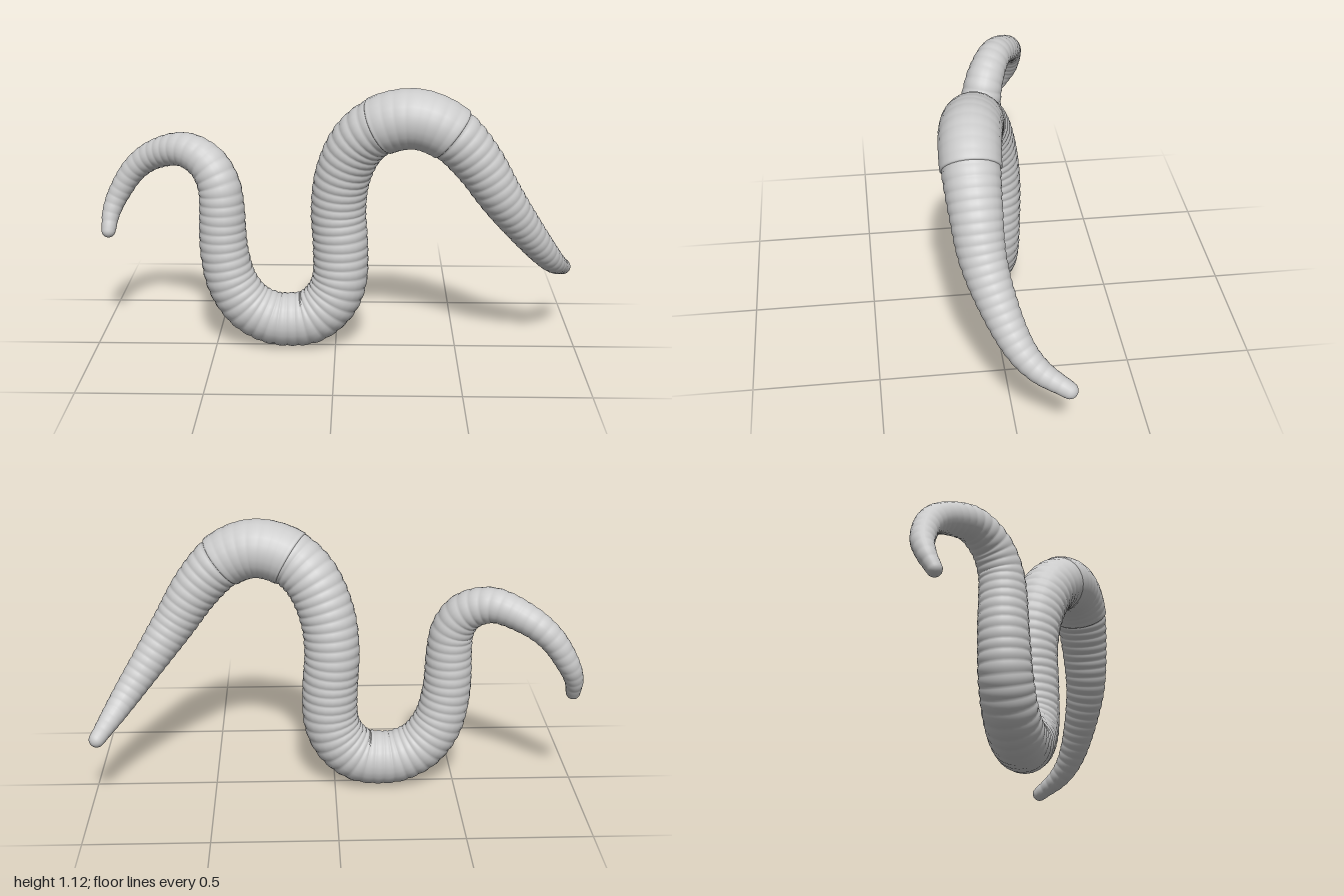
import * as THREE from 'three';

// Centreline stations from tail to head: x, y, z, radius
const STATIONS = [
  [-0.962, 0.46, -0.13, 0.03], [-0.953, 0.53, -0.165, 0.038], [-0.92, 0.61, -0.19, 0.046],
  [-0.85, 0.715, -0.19, 0.053], [-0.755, 0.787, -0.16, 0.061], [-0.63, 0.825, -0.095, 0.071],
  [-0.53, 0.785, -0.045, 0.08], [-0.478, 0.7, -0.018, 0.087], [-0.466, 0.6, -0.01, 0.093],
  [-0.465, 0.5, -0.008, 0.097], [-0.458, 0.4, -0.006, 0.1], [-0.43, 0.28, -0.005, 0.104],
  [-0.365, 0.18, -0.005, 0.107], [-0.275, 0.127, -0.005, 0.11], [-0.19, 0.116, -0.005, 0.112],
  [-0.1, 0.132, -0.005, 0.113], [-0.023, 0.2, -0.005, 0.114], [0.017, 0.3, -0.006, 0.114],
  [0.02, 0.45, -0.008, 0.114], [0.012, 0.6, -0.008, 0.113], [0.03, 0.75, 0.01, 0.113],
  [0.09, 0.89, 0.045, 0.114], [0.185, 0.975, 0.085, 0.115], [0.32, 1.005, 0.112, 0.115],
  [0.45, 0.955, 0.124, 0.111], [0.56, 0.84, 0.12, 0.101], [0.66, 0.69, 0.105, 0.088],
  [0.76, 0.55, 0.06, 0.073], [0.85, 0.43, 0.0, 0.059], [0.91, 0.355, -0.07, 0.047],
  [0.965, 0.298, -0.175, 0.033],
];
const SIDES = 24;
const STEPS = 800;
const RINGS = 100;

const path = new THREE.CatmullRomCurve3(
  STATIONS.map(([x, y, z]) => new THREE.Vector3(x, y, z)), false, 'catmullrom');
path.arcLengthDivisions = 1500;
const girth = new THREE.SplineCurve(STATIONS.map((s, i) => new THREE.Vector2(i, s[3])));
const frames = path.computeFrenetFrames(STEPS, false);

// Sweep closed rings along steps i0..i1, with a domed cap at both ends
function sweep(i0, i1, radiusAt, capDepth) {
  const positions = [], index = [];
  let count = 0;
  const ring = (i, radius, shift) => {
    const centre = path.getPointAt(i / STEPS).addScaledVector(frames.tangents[i], shift);
    for (let j = 0; j < SIDES; j++) {
      const a = (j / SIDES) * Math.PI * 2;
      const p = centre.clone()
        .addScaledVector(frames.normals[i], Math.cos(a) * radius)
        .addScaledVector(frames.binormals[i], Math.sin(a) * radius);
      positions.push(p.x, p.y, p.z);
    }
    count++;
  };
  const cap = (i, sign) => {
    const r = radiusAt(i);
    for (let k = 1; k <= 6; k++) {
      const a = ((sign < 0 ? 7 - k : k) / 6.2) * Math.PI / 2;
      ring(i, r * Math.max(Math.cos(a), 0.002), sign * capDepth * r * Math.sin(a));
    }
  };
  cap(i0, -1);
  for (let i = i0; i <= i1; i++) ring(i, radiusAt(i), 0);
  cap(i1, 1);
  for (let i = 0; i < count - 1; i++) {
    for (let j = 0; j < SIDES; j++) {
      const a = i * SIDES + j, b = i * SIDES + (j + 1) % SIDES;
      index.push(a, b, a + SIDES, b, b + SIDES, a + SIDES);
    }
  }
  // Close the poles
  const last = (count - 1) * SIDES;
  for (let j = 1; j < SIDES - 1; j++) {
    index.push(0, j + 1, j, last, last + j, last + j + 1);
  }
  const geometry = new THREE.BufferGeometry();
  geometry.setAttribute('position', new THREE.Float32BufferAttribute(positions, 3));
  geometry.setIndex(index);
  geometry.computeVertexNormals();
  return geometry;
}

export function createModel() {
  const group = new THREE.Group();
  group.name = 'worm';
  const material = new THREE.MeshStandardMaterial({ color: 0xcccccc });
  const add = (name, geometry) => {
    const mesh = new THREE.Mesh(geometry, material);
    mesh.name = name;
    group.add(mesh);
  };

  const baseRadius = (i) => girth.getPoint(path.getUtoTmapping(i / STEPS)).y;
  // Each body segment bulges gently between narrow grooves
  const bulge = (i) => Math.abs(Math.sin((i / STEPS) * RINGS * Math.PI));
  add('segmentedBody', sweep(0, STEPS, (i) => baseRadius(i) * (0.975 + 0.035 * bulge(i)), 1));

  // Thicker band around the raised hump
  const stepNearX = (x) => {
    let i = STEPS;
    while (i > 0 && path.getPointAt(i / STEPS).x > x) i--;
    return i;
  };
  const start = stepNearX(0.18), end = stepNearX(0.46);
  add('saddleBand', sweep(start, end, (i) => baseRadius(i) * (1.035 + 0.012 * bulge(i)), 0.12));
  return group;
}
